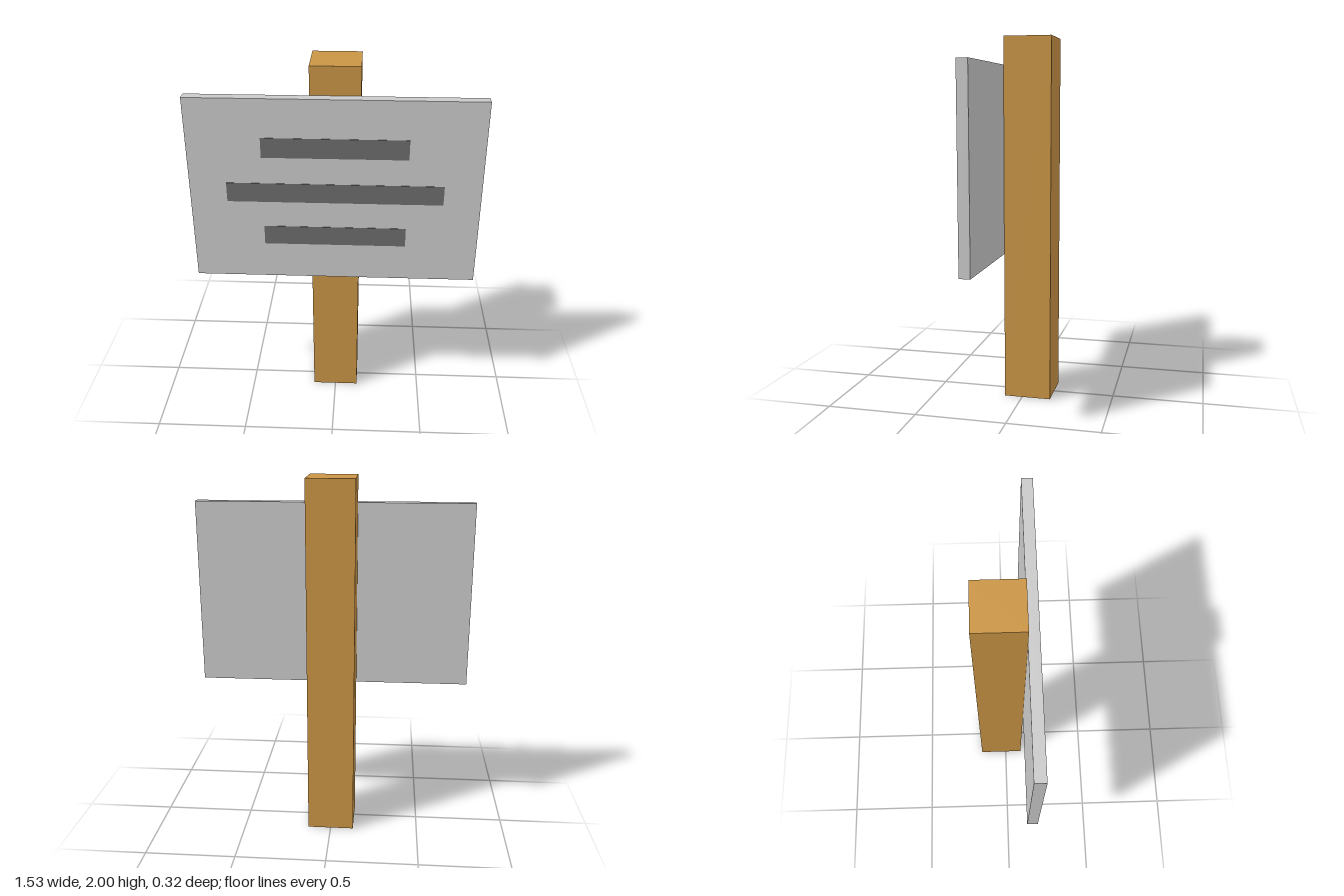
import * as THREE from 'three';

function material(name, color) {
  const m = new THREE.MeshStandardMaterial({ color });
  m.name = name;
  return m;
}

export function createModel() {
  const wood = material('wood', 0xca9545);
  const panel = material('panel grey', 0xcacaca);
  const dark = material('dark grey', 0x6c6c6c);

  const group = new THREE.Group();
  group.name = 'signpost';

  // Box given by its size and centre
  function addBox(name, mat, [w, h, d], [x, y, z]) {
    const mesh = new THREE.Mesh(new THREE.BoxGeometry(w, h, d), mat);
    mesh.name = name;
    mesh.position.set(x, y, z);
    group.add(mesh);
  }

  // Square post, with the board fixed to its front
  addBox('post', wood, [0.26, 2, 0.26], [0, 1, -0.03]);
  addBox('board', panel, [1.53, 1.03, 0.058], [0, 1.335, 0.129]);

  // Three painted lines, the middle one longest
  [['upperLine', 0.76, 1.588], ['middleLine', 1.14, 1.334], ['lowerLine', 0.76, 1.08]]
    .forEach(([name, width, y]) => addBox(name, dark, [width, 0.108, 0.004], [0, y, 0.158]));

  return group;
}
